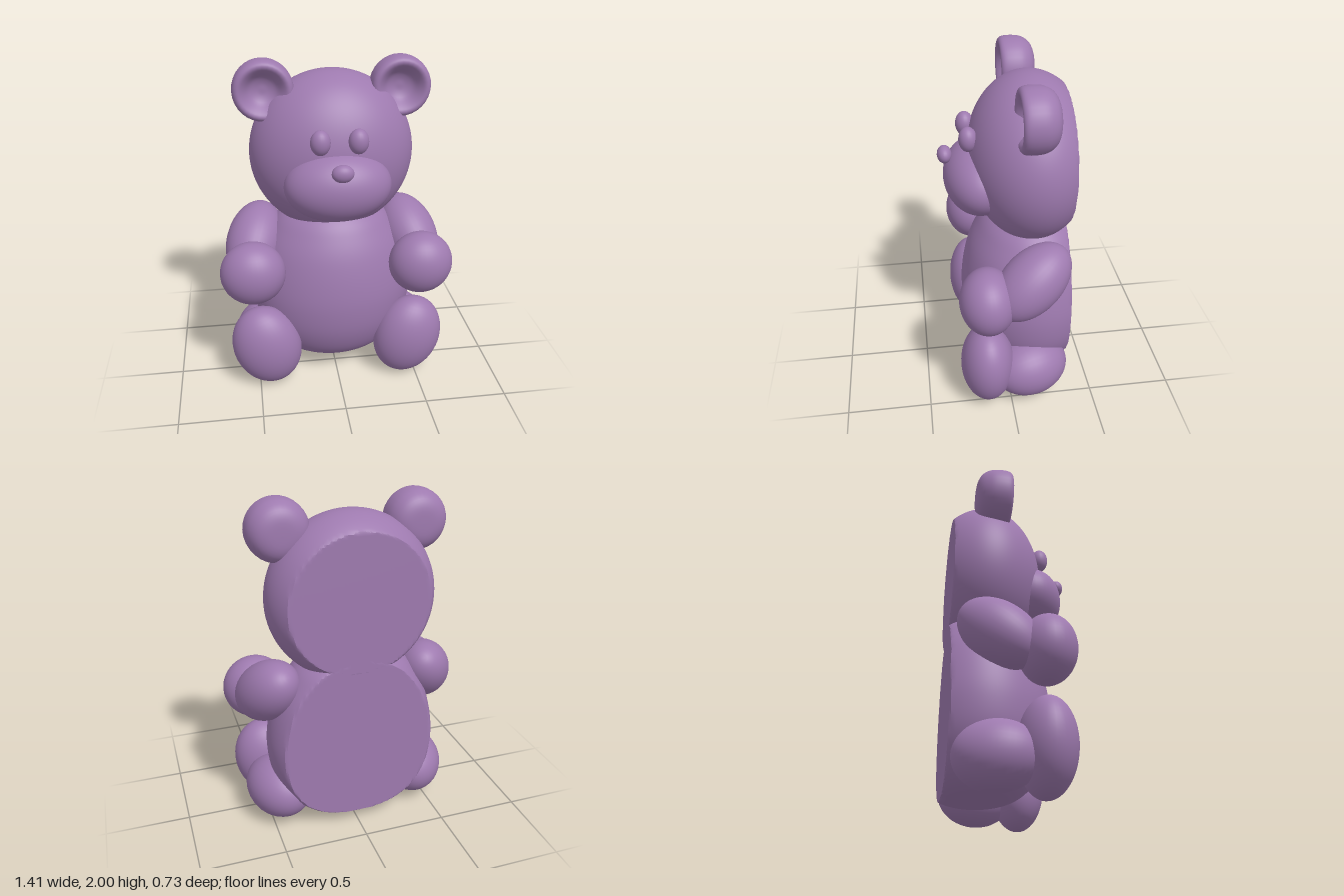
import * as THREE from 'three';
import { toCreasedNormals } from 'three/addons/utils/BufferGeometryUtils.js';

const BACK = -0.365; // the figure is sliced flat along this plane

export function createModel() {
  const bear = new THREE.Group();
  bear.name = 'teddyBear';
  const purple = new THREE.MeshStandardMaterial({ color: 0x9e7aaf });
  purple.name = 'purple';

  function add(name, geometry) {
    const mesh = new THREE.Mesh(geometry, purple);
    mesh.name = name;
    bear.add(mesh);
    return mesh;
  }

  // Press everything behind the back plane onto it, keeping a sharp rim
  function flattenBack(geometry) {
    const p = geometry.attributes.position;
    for (let i = 0; i < p.count; i++) p.setZ(i, Math.max(p.getZ(i), BACK));
    return toCreasedNormals(geometry, 0.5);
  }

  function ellipsoid(name, center, radii, segments = 36) {
    const mesh = add(name, new THREE.SphereGeometry(1, segments, Math.round(segments * 0.66)));
    mesh.scale.set(...radii);
    mesh.position.set(...center);
    return mesh;
  }

  // Egg-shaped limb whose long axis follows a direction
  function limb(name, center, direction, length, radius) {
    const mesh = ellipsoid(name, center, [radius, length, radius]);
    mesh.quaternion.setFromUnitVectors(
      new THREE.Vector3(0, 1, 0), new THREE.Vector3(...direction).normalize());
    return mesh;
  }

  // Pear-shaped body
  const bodyCurve = new THREE.SplineCurve([
    [0, 0.055], [0.16, 0.07], [0.3, 0.11], [0.41, 0.2], [0.485, 0.35], [0.51, 0.52],
    [0.495, 0.68], [0.45, 0.84], [0.385, 0.96], [0.31, 1.05], [0.18, 1.13], [0, 1.16],
  ].map(([x, y]) => new THREE.Vector2(x, y)));
  const bodyPoints = bodyCurve.getPoints(60);
  bodyPoints.forEach((p) => { p.x = Math.max(p.x, 0); });
  add('body', flattenBack(
    new THREE.LatheGeometry(bodyPoints, 120).scale(1, 1, 0.82).translate(0, 0, -0.17)));

  // Head
  add('head', flattenBack(
    new THREE.SphereGeometry(1, 120, 72).scale(0.49, 0.49, 0.365).translate(0, 1.43, -0.165)));

  // Face
  ellipsoid('muzzle', [0, 1.32, 0.13], [0.31, 0.21, 0.205], 48);
  ellipsoid('nose', [0, 1.465, 0.322], [0.062, 0.05, 0.042], 24);

  // Ear profile: rounded back, rolled rim, hollow front
  const earCurve = new THREE.SplineCurve([
    [0, -0.25], [0.08, -0.246], [0.135, -0.222], [0.167, -0.175], [0.176, -0.12],
    [0.172, -0.065], [0.156, -0.043], [0.135, -0.042], [0.11, -0.062], [0.075, -0.1],
    [0.035, -0.118], [0, -0.12],
  ].map(([x, y]) => new THREE.Vector2(x, y)));
  const earPoints = earCurve.getPoints(40);
  earPoints.forEach((p) => { p.x = Math.max(p.x, 0); });
  const earGeometry = new THREE.LatheGeometry(earPoints, 32).rotateX(Math.PI / 2);

  for (const [side, s] of [['left', 1], ['right', -1]]) {
    add(side + 'Ear', earGeometry).position.set(s * 0.395, 1.824, 0);
    ellipsoid(side + 'Eye', [s * 0.106, 1.6, 0.195], [0.057, 0.072, 0.052], 24);

    limb(side + 'Arm', [s * 0.485, 0.88, -0.115], [s * 0.29, -0.61, 0.735], 0.265, 0.172);
    ellipsoid(side + 'Hand', [s * 0.51, 0.788, 0.14], [0.195, 0.195, 0.162]);

    limb(side + 'Leg', [s * 0.445, 0.215, -0.12], [s * 0.3, 0, 0.95], 0.235, 0.187);
    const foot = ellipsoid(side + 'Foot', [s * 0.447, 0.27, 0.14], [0.212, 0.269, 0.16]);
    foot.rotation.z = -s * 0.25;
  }

  return bear;
}
